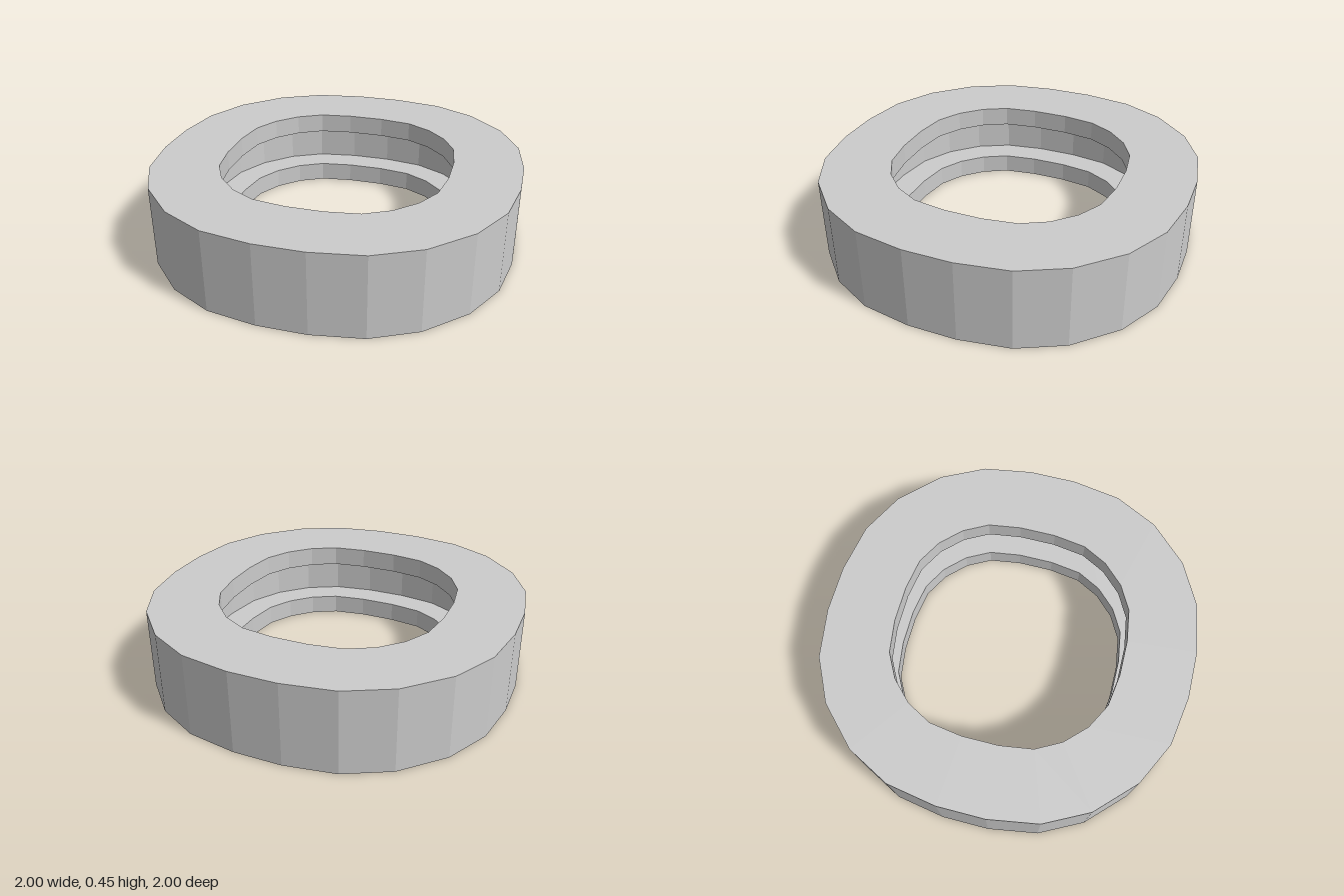
import * as THREE from 'three';

// One quadrant of each softly squared 24-sided outline, as [x, z]
const OUTER = [[1, 0.13], [0.955, 0.4], [0.835, 0.635], [0.635, 0.835], [0.4, 0.955], [0.13, 1]];
const INNER = [[0.625, 0.1], [0.598, 0.28], [0.525, 0.415], [0.415, 0.525], [0.28, 0.598], [0.1, 0.625]];
const GROOVE = INNER.map(([x, z], i) => [
  THREE.MathUtils.lerp(x, OUTER[i][0], 0.41),
  THREE.MathUtils.lerp(z, OUTER[i][1], 0.41),
]);

// Turn a quadrant four times to close the outline at height y
function loop(quadrant, y) {
  const points = [];
  for (let q = 0; q < 4; q++) {
    for (const [x, z] of quadrant) {
      const [px, pz] = [[x, z], [-z, x], [-x, -z], [z, -x]][q];
      points.push([px, y, pz]);
    }
  }
  return points;
}

// Join consecutive loops, and the last to the first, with flat quads
function skin(loops) {
  const positions = [];
  loops.forEach((a, k) => {
    const b = loops[(k + 1) % loops.length];
    a.forEach((p, i) => {
      const j = (i + 1) % a.length;
      positions.push(...p, ...b[i], ...b[j], ...p, ...b[j], ...a[j]);
    });
  });
  const geometry = new THREE.BufferGeometry();
  geometry.setAttribute('position', new THREE.Float32BufferAttribute(positions, 3));
  geometry.computeVertexNormals();
  return geometry;
}

export function createModel() {
  const group = new THREE.Group();
  group.name = 'groovedRing';
  const height = 0.45;
  const lip = 0.11;

  // Outer wall, top face, upper lip, recessed channel, lower lip, bottom face
  const geometry = skin([
    loop(OUTER, 0),
    loop(OUTER, height),
    loop(INNER, height),
    loop(INNER, height - lip),
    loop(GROOVE, height - lip),
    loop(GROOVE, lip),
    loop(INNER, lip),
    loop(INNER, 0),
  ]);
  const material = new THREE.MeshStandardMaterial({ color: 0xcccccc, flatShading: true });
  const ring = new THREE.Mesh(geometry, material);
  ring.name = 'ringWithInnerGroove';
  group.add(ring);
  return group;
}
